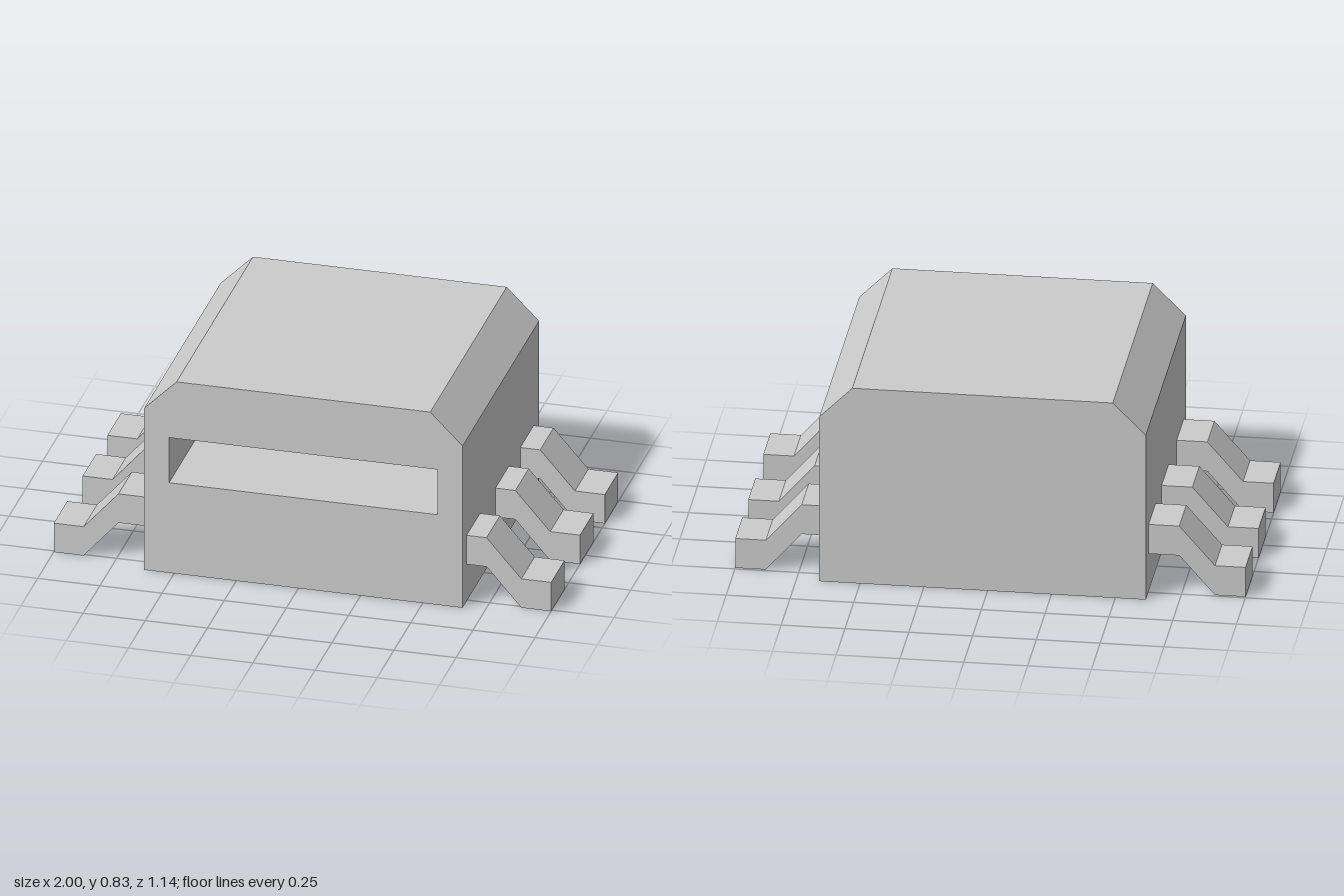
import * as THREE from 'three';

const material = new THREE.MeshStandardMaterial({ color: 0xcccccc, flatShading: true, side: THREE.DoubleSide });

function add(parent, geometry, name) {
  const mesh = new THREE.Mesh(geometry, material);
  mesh.name = name;
  parent.add(mesh);
  return mesh;
}

// Folded sheet: an open xy path swept from zBack to zFront
function sheet(path, zBack, zFront) {
  const pos = [];
  for (let i = 0; i < path.length - 1; i++) {
    const [ax, ay] = path[i], [bx, by] = path[i + 1];
    pos.push(ax, ay, zBack, ax, ay, zFront, bx, by, zFront);
    pos.push(ax, ay, zBack, bx, by, zFront, bx, by, zBack);
  }
  const g = new THREE.BufferGeometry();
  g.setAttribute('position', new THREE.Float32BufferAttribute(pos, 3));
  g.computeVertexNormals();
  return g;
}

const outline = (pts) => new THREE.Shape(pts.map(([x, y]) => new THREE.Vector2(x, y)));

// Thin-walled housing, open underneath, with a pocket in the front
function createHousing() {
  const group = new THREE.Group();
  group.name = 'housing';
  const depth = 0.57;
  const profile = [[-0.62, 0], [-0.62, 0.7], [-0.49, 0.83], [0.53, 0.83], [0.66, 0.7], [0.66, 0]];
  const pocket = [[-0.52, 0.39], [0.56, 0.39], [0.56, 0.585], [-0.52, 0.585]];

  add(group, sheet(profile, -depth, depth), 'sidesAndRoof');
  add(group, new THREE.ShapeGeometry(outline(profile)).rotateY(0).translate(0, 0, -depth), 'backWall');

  const front = outline(profile);
  front.holes.push(outline(pocket));
  add(group, new THREE.ShapeGeometry(front).translate(0, 0, depth), 'frontWall');

  const pocketBack = 0.07;
  add(group, sheet([...pocket, pocket[0]], pocketBack, depth), 'pocketSides');
  add(group, new THREE.ShapeGeometry(outline(pocket)).translate(0, 0, pocketBack), 'pocketBack');
  return group;
}

// Bent lead running right through the housing, open along its underside
function createLead(z) {
  const group = new THREE.Group();
  group.name = 'lead';
  const top = [[-1, 0], [-1, 0.125], [-0.88, 0.125], [-0.74, 0.285],
    [0.74, 0.285], [0.88, 0.125], [1, 0.125], [1, 0]];
  const under = [[0.88, 0], [0.74, 0.16], [-0.74, 0.16], [-0.88, 0]];
  const half = 0.1;
  add(group, sheet(top, -half, half), 'leadTop');
  for (const side of [-half, half]) {
    add(group, new THREE.ShapeGeometry(outline([...top, ...under])).translate(0, 0, side), 'leadSide');
  }
  group.position.z = z;
  return group;
}

export function createModel() {
  const model = new THREE.Group();
  model.name = 'electronicComponent';
  model.add(createHousing());
  for (const z of [0.41, -0.02, -0.39]) model.add(createLead(z));
  return model;
}
